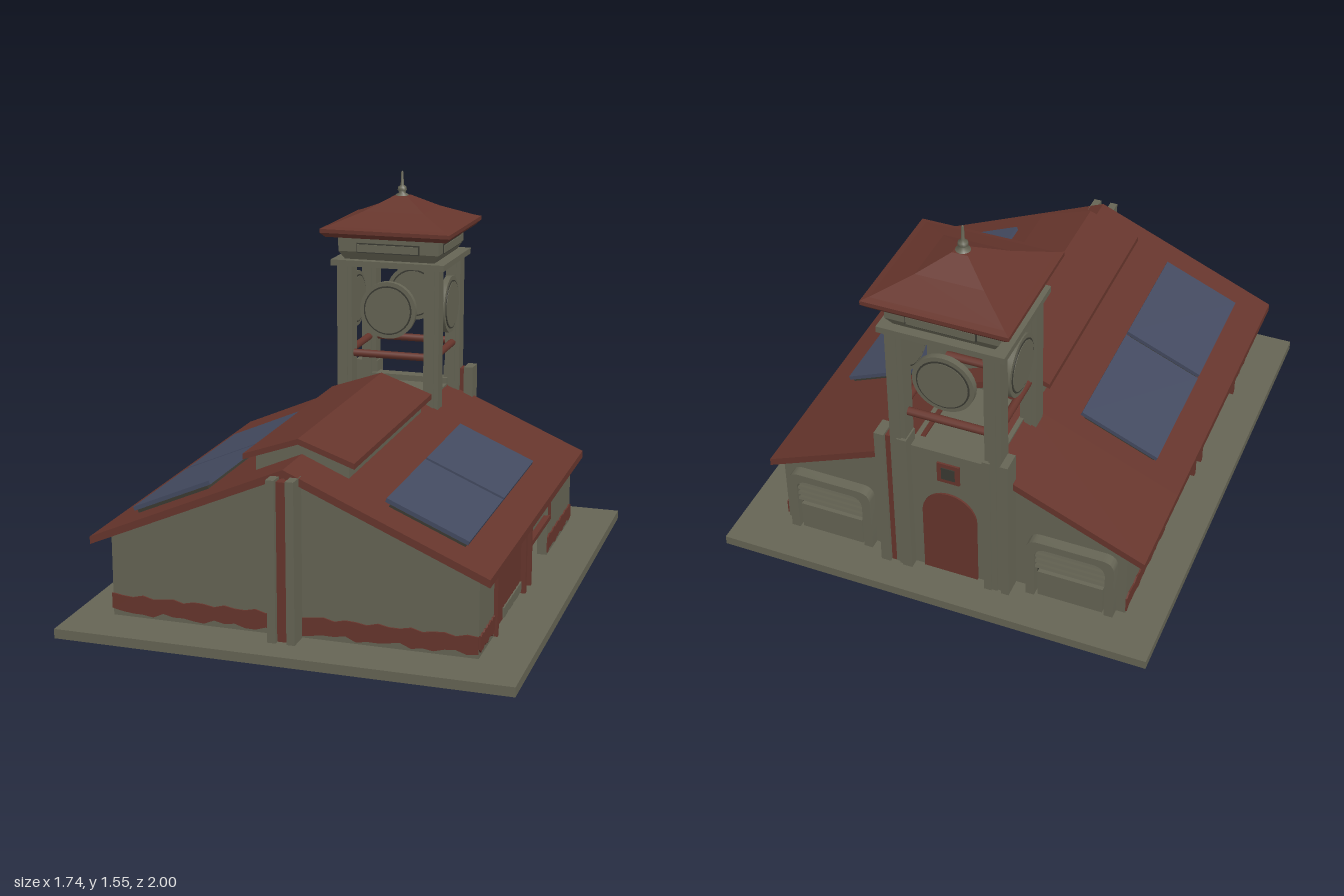
import * as THREE from 'three';
import { toCreasedNormals } from 'three/addons/utils/BufferGeometryUtils.js';

const mat = (name, color) => {
  const m = new THREE.MeshStandardMaterial({ color });
  m.name = name;
  return m;
};

export function createModel() {
  const stone = mat('olive stone', 0x656454);
  const red = mat('brick red', 0x66352c);
  const blue = mat('panel blue', 0x434a60);
  const dark = mat('dark trim', 0x3a3a32);
  const root = new THREE.Group();
  const CX = -0.015, RIDGE = -0.03, TZ = -0.66; // building, ridge and tower centres

  const add = (name, geo, material, parent = root) => {
    const mesh = new THREE.Mesh(geo, material);
    mesh.name = name;
    parent.add(mesh);
    return mesh;
  };
  // box given by its extents
  const box = (name, m, x0, x1, y0, y1, z0, z1, parent = root) => {
    const b = add(name, new THREE.BoxGeometry(x1 - x0, y1 - y0, z1 - z0), m, parent);
    b.position.set((x0 + x1) / 2, (y0 + y1) / 2, (z0 + z1) / 2);
    return b;
  };
  const poly = (pts) => new THREE.Shape(pts.map(([x, y]) => new THREE.Vector2(x, y)));
  const extrude = (shape, z0, z1) => new THREE.ExtrudeGeometry(shape,
    { depth: z1 - z0, bevelEnabled: false, curveSegments: 10 }).translate(0, 0, z0);
  // one pitch of a roof, running from d0 to d1 away from the ridge
  const pitch = (name, s, top, slope, d0, d1, t, z0, z1) => {
    const p = (d, drop) => [RIDGE + s * d, top - slope * d - drop];
    add(name, extrude(poly([p(d0, 0), p(d1, 0), p(d1, t), p(d0, t)]), z0, z1), red);
  };
  // thin painted plate with uneven edges, in XY
  const ragged = (x0, x1, y0, y1, wobble, seed) => {
    const low = [], high = [], n = 16;
    for (let i = 0; i <= n; i++) {
      const x = x0 + (x1 - x0) * i / n;
      low.push([x, y0 + wobble * (0.5 + 0.5 * Math.sin(i * 1.9 + seed) * Math.cos(i * 0.7))]);
      high.unshift([x, y1 + wobble * 0.25 * Math.sin(i * 2.3 + seed)]);
    }
    return extrude(poly([...low, ...high]), 0, 0.006);
  };
  // stone pilaster with a red slot down the middle
  const slotted = (name, x0, x1, y0, y1, z0, z1, inset) => {
    const g = new THREE.Group();
    g.name = name;
    const w = (x1 - x0) * 0.3;
    box('pilasterEdge', stone, x0, x0 + w, y0, y1, z0, z1, g);
    box('pilasterEdge', stone, x1 - w, x1, y0, y1, z0, z1, g);
    box('pilasterSlot', red, x0 + w, x1 - w, y0, y1 - 0.01, z0 + inset, z1 - inset, g);
    root.add(g);
  };

  // base and gable ends
  box('base', stone, -0.87, 0.87, 0.008, 0.045, -1, 1);
  const gable = poly([[-0.72, 0.045], [0.69, 0.045], [0.69, 0.36], [RIDGE, 0.655], [-0.72, 0.36]]);
  add('frontWall', extrude(gable, 0.76, 0.8), stone);
  const rear = poly([[-0.72, 0.045], [0.69, 0.045], [0.69, 0.36], [0.06, 0.615], [-0.12, 0.615], [-0.72, 0.36]]);
  add('backWall', extrude(rear, -0.8, -0.76), stone);
  [[-0.72, -0.07, 1], [0.03, 0.69, 4]].forEach(([a, b, seed]) => {
    add('frontStripe', ragged(a, b, 0.05, 0.128, 0.025, seed), red).position.z = 0.8;
  });

  // main roof, notched at the back under the tower, with raised ridge roof
  for (const s of [-1, 1]) {
    pitch('roof', s, 0.685, 0.43, 0, 0.765, 0.03, -0.44, 0.83);
    pitch('roofRear', s, 0.685, 0.43, 0.13, 0.765, 0.03, -0.83, -0.44);
    pitch('ridgeRoof', s, 0.755, 0.35, 0, 0.215, 0.022, -0.37, 0.665);
    // sloped solar panels
    for (const z of [-0.1, 0.43]) {
      const p = box('solarPanel', blue, -0.168, 0.168, -0.008, 0.008, -0.255, 0.255);
      p.position.set(RIDGE + s * 0.495, 0.685 - 0.43 * 0.495 + 0.024, z);
      p.rotation.z = -s * Math.atan(0.43);
      const f = box('panelMount', dark, -0.155, 0.155, -0.01, 0.01, -0.245, 0.245);
      f.position.copy(p.position);
      f.position.y -= 0.014;
      f.rotation.z = p.rotation.z;
    }
  }
  add('clerestory', extrude(poly([[-0.21, 0.54], [0.15, 0.54], [0.15, 0.68], [RIDGE, 0.735], [-0.21, 0.68]]),
    -0.34, 0.62), stone);
  box('towerFloor', stone, -0.2, 0.14, 0.59, 0.62, -0.8, -0.44);

  // side walls, gates and open bays
  for (const s of [-1, 1]) {
    const side = new THREE.Group();
    side.name = s > 0 ? 'leftSide' : 'rightSide';
    side.position.x = CX;
    root.add(side);
    const X = 0.705;
    const sbox = (name, m, d0, d1, y0, y1, z0, z1) =>
      box(name, m, Math.min(s * d0, s * d1), Math.max(s * d0, s * d1), y0, y1, z0, z1, side);
    const paint = (name, m, z0, z1, y0, y1, w, d, seed) => {
      const p = add(name, ragged(z0, z1, y0, y1, w, seed), m, side);
      p.rotation.y = s * Math.PI / 2;
      p.position.x = s * d;
    };
    sbox('sideWallFront', stone, X - 0.04, X, 0.045, 0.365, 0.57, 0.8);
    sbox('sideWallBack', stone, X - 0.04, X, 0.045, 0.365, -0.8, -0.34);
    sbox('lintel', stone, X - 0.04, X - 0.015, 0.19, 0.365, -0.34, 0.57);
    // plate x runs along -z on the left side and +z on the right
    paint('sideStripe', red, ...(s > 0 ? [-0.8, -0.57] : [0.57, 0.8]), 0.06, 0.128, 0.02, X, 2);
    paint('sideStripe', red, ...(s > 0 ? [0.34, 0.8] : [-0.8, -0.34]), 0.055, 0.125, 0.02, X, 5);
    sbox('gate', red, X - 0.03, X - 0.005, 0.05, 0.285, 0.11, 0.545);
    paint('gateWear', stone, ...(s > 0 ? [-0.42, -0.13] : [0.13, 0.42]), 0.052, 0.095, 0.008, X - 0.005, 3);
    sbox('gateRail', red, X - 0.02, X + 0.01, 0.30, 0.325, 0.11, 0.57);
    for (const z of [0.11, 0.57, 0.02]) sbox('bayPost', red, X - 0.01, X + 0.015, 0.045, 0.36, z - 0.01, z + 0.01);
    for (const y of [0.195, 0.285]) sbox('bayRail', red, X - 0.015, X + 0.01, y, y + 0.02, -0.36, 0.02);
    sbox('bayBrace', red, X - 0.015, X + 0.008, 0.2, 0.34, -0.37, -0.35);
  }

  // pilasters on the front and beside the back door
  slotted('frontPilaster', -0.075, 0.03, 0.045, 0.66, 0.8, 0.885, 0.02);
  slotted('backPilaster', -0.28, -0.18, 0.045, 0.695, -0.88, -0.8, 0.015);
  slotted('backPilaster', 0.12, 0.25, 0.045, 0.695, -0.88, -0.8, 0.015);

  // back facade with arched door and small window
  box('facade', stone, -0.2, 0.14, 0.045, 0.645, -0.84, -0.78);
  const arch = new THREE.Shape();
  arch.moveTo(-0.11, 0.045);
  arch.lineTo(0.11, 0.045);
  arch.lineTo(0.11, 0.34);
  arch.absarc(0, 0.34, 0.11, 0, Math.PI, false);
  add('archedDoor', extrude(arch, -0.848, -0.84), red).position.x = RIDGE;
  box('windowFrame', red, RIDGE - 0.045, RIDGE + 0.045, 0.51, 0.6, -0.848, -0.84);
  box('windowPane', dark, RIDGE - 0.027, RIDGE + 0.027, 0.528, 0.582, -0.851, -0.847);

  // louvred shutters in rounded frames
  for (const x of [-0.51, 0.48]) {
    const g = new THREE.Group();
    g.name = 'shutter';
    g.position.x = x;
    root.add(g);
    const outline = (T, w, h) => {
      const p = new T();
      p.moveTo(-w, 0.05);
      p.lineTo(w, 0.05);
      p.lineTo(w, h - 0.05);
      p.quadraticCurveTo(w, h, w - 0.05, h);
      p.lineTo(-w + 0.05, h);
      p.quadraticCurveTo(-w, h, -w, h - 0.05);
      p.closePath();
      return p;
    };
    const frame = outline(THREE.Shape, 0.175, 0.33);
    frame.holes.push(outline(THREE.Path, 0.14, 0.298));
    add('shutterFrame', toCreasedNormals(extrude(frame, -0.845, -0.8), 0.6), stone, g);
    box('shutterRecess', dark, -0.14, 0.14, 0.05, 0.29, -0.808, -0.8, g);
    box('shutterPanel', stone, -0.13, 0.13, 0.05, 0.17, -0.835, -0.8, g);
    for (let i = 0; i < 4; i++) {
      box('slat', stone, -0.14, 0.14, 0.185 + i * 0.028, 0.197 + i * 0.028, -0.835, -0.8, g).rotation.x = 0.3;
    }
  }

  // tower posts and round tie beams
  const tower = new THREE.Group();
  tower.name = 'tower';
  tower.position.set(RIDGE, 0, TZ);
  root.add(tower);
  for (const sx of [-1, 1]) for (const sz of [-1, 1]) {
    const y0 = sz < 0 ? 0.045 : 0.5;
    box('towerPost', stone, sx * 0.188 - 0.032, sx * 0.188 + 0.032, y0, 1.185,
      sz * 0.172 - 0.035, sz * 0.172 + 0.035, tower);
    box('postStrip', stone, sx * 0.188 - 0.014, sx * 0.188 + 0.014, y0, 1.185,
      sz * 0.172 - 0.042, sz * 0.172 + 0.042, tower);
  }
  // four sides: beam, clock disc and frieze panel
  for (let i = 0; i < 4; i++) {
    const alongX = i % 2 === 0;
    const face = new THREE.Group();
    face.name = 'towerFace';
    face.rotation.y = i * Math.PI / 2;
    tower.add(face);
    const d = alongX ? 0.172 : 0.188;
    const beam = add('tieBeam', new THREE.CylinderGeometry(0.016, 0.016, alongX ? 0.32 : 0.29, 10), red, face);
    beam.rotation.z = Math.PI / 2;
    beam.position.set(0, 0.803, d);
    const dial = (name, r, t, z, m) => {
      const c = add(name, toCreasedNormals(new THREE.CylinderGeometry(r, r, t, 32), 0.6), m, face);
      c.rotation.x = Math.PI / 2;
      c.position.set(0, 1.0, z);
    };
    dial('clockBody', 0.12, 0.025, d + 0.02, stone);
    dial('clockRing', 0.103, 0.031, d + 0.02, dark);
    dial('clockFace', 0.097, 0.035, d + 0.02, stone);
    const f = alongX ? 0.206 : 0.215;
    box('friezeEdge', dark, -0.135, 0.135, 1.237, 1.278, f - 0.01, f + 0.004, face);
    box('friezePanel', stone, -0.13, 0.13, 1.242, 1.273, f - 0.01, f + 0.008, face);
  }
  // platform, flared frieze and hipped cap
  box('platform', stone, -0.243, 0.243, 1.18, 1.205, -0.222, 0.222, tower);
  box('ceiling', red, -0.15, 0.15, 1.172, 1.18, -0.135, 0.135, tower);
  const square = (name, pts, m) => {
    const g = new THREE.LatheGeometry(pts.map(([r, y]) => new THREE.Vector2(r * Math.SQRT2, y)), 4, Math.PI / 4)
      .toNonIndexed();
    g.scale(1, 1, 0.955);
    g.computeVertexNormals();
    return add(name, g, m, tower);
  };
  square('frieze', [[0.19, 1.2], [0.215, 1.24], [0.215, 1.31]], stone);
  square('towerRoof', [[0.0001, 1.303], [0.258, 1.303], [0.277, 1.322], [0.277, 1.338], [0.252, 1.346],
    [0.13, 1.397], [0.03, 1.452], [0.0001, 1.456]], red);
  // finial
  add('finial', new THREE.LatheGeometry([[0.028, 1.445], [0.028, 1.455], [0.012, 1.465], [0.02, 1.475], [0.018, 1.487],
    [0.007, 1.497], [0.005, 1.55], [0.0001, 1.556]].map(([r, y]) => new THREE.Vector2(r, y)), 12), stone, tower);

  return root;
}
